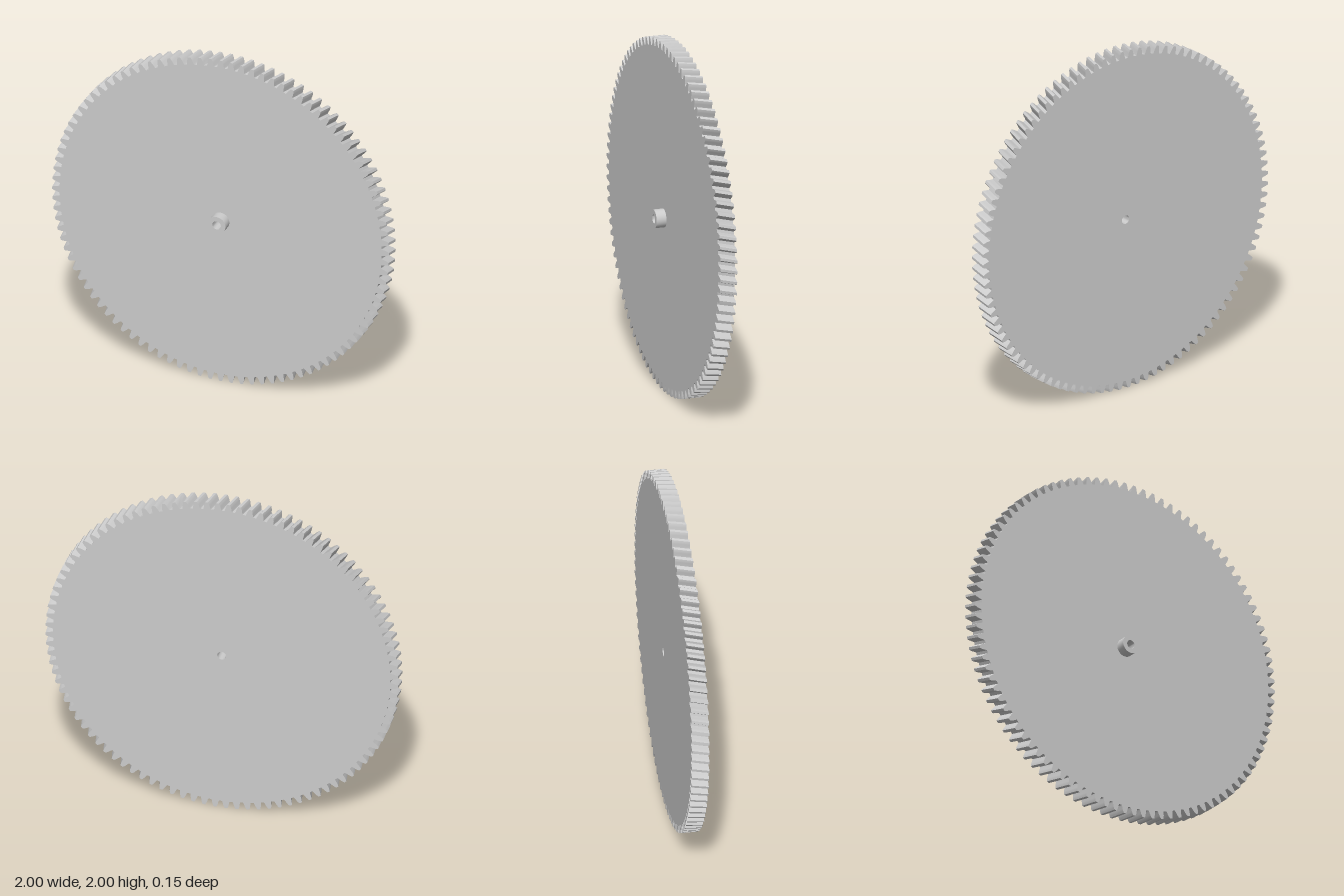
import * as THREE from 'three';
import { toCreasedNormals } from 'three/addons/utils/BufferGeometryUtils.js';

const TEETH = 100, TIP = 1, PITCH = 0.98, ROOT = 0.956;
const BACK = -0.077, FACE = 0.02, HUB_END = 0.077;
const BORE = 0.025, HUB = 0.052, TWIST = 0.024;

function boreHole() {
  return new THREE.Path().absarc(0, 0, BORE, 0, Math.PI * 2, true);
}

// Outline of the toothed wheel: each tooth has a tapered, slightly curved flank
function gearShape() {
  const step = (Math.PI * 2) / TEETH;
  const flank = [[-0.36, ROOT], [-0.31, ROOT + 0.008], [-0.25, PITCH], [-0.19, 0.991], [-0.12, TIP]];
  const profile = [...flank, ...flank.map(([a, r]) => [-a, r]).reverse()];
  const points = [];
  for (let i = 0; i < TEETH; i++) {
    for (const [a, r] of profile) {
      const t = (i + a) * step;
      points.push(new THREE.Vector2(r * Math.cos(t), r * Math.sin(t)));
    }
  }
  const shape = new THREE.Shape(points);
  shape.holes.push(boreHole());
  return shape;
}

// Turn each slice clockwise towards the back to make the teeth helical
function twist(geometry, depth) {
  const p = geometry.attributes.position;
  const v = new THREE.Vector3(), axis = new THREE.Vector3(0, 0, 1);
  for (let i = 0; i < p.count; i++) {
    v.fromBufferAttribute(p, i);
    v.applyAxisAngle(axis, -TWIST * (1 - v.z / depth));
    p.setXYZ(i, v.x, v.y, v.z);
  }
  return geometry;
}

export function createModel() {
  const group = new THREE.Group();
  group.name = 'helicalGear';
  const material = new THREE.MeshStandardMaterial({ color: 0xcccccc });

  const add = (name, geometry, z) => {
    const mesh = new THREE.Mesh(toCreasedNormals(geometry, 0.4), material);
    mesh.name = name;
    mesh.position.set(0, 1, z);
    group.add(mesh);
  };

  // Toothed wheel with bore
  const depth = FACE - BACK;
  const wheel = new THREE.ExtrudeGeometry(gearShape(), { depth, steps: 4, bevelEnabled: false, curveSegments: 16 });
  add('toothedWheel', twist(wheel, depth), BACK);

  // Hub collar on the front
  const ring = new THREE.Shape().absarc(0, 0, HUB, 0, Math.PI * 2, false);
  ring.holes.push(boreHole());
  add('hub', new THREE.ExtrudeGeometry(ring, { depth: HUB_END - FACE, bevelEnabled: false, curveSegments: 16 }), FACE);

  return group;
}
